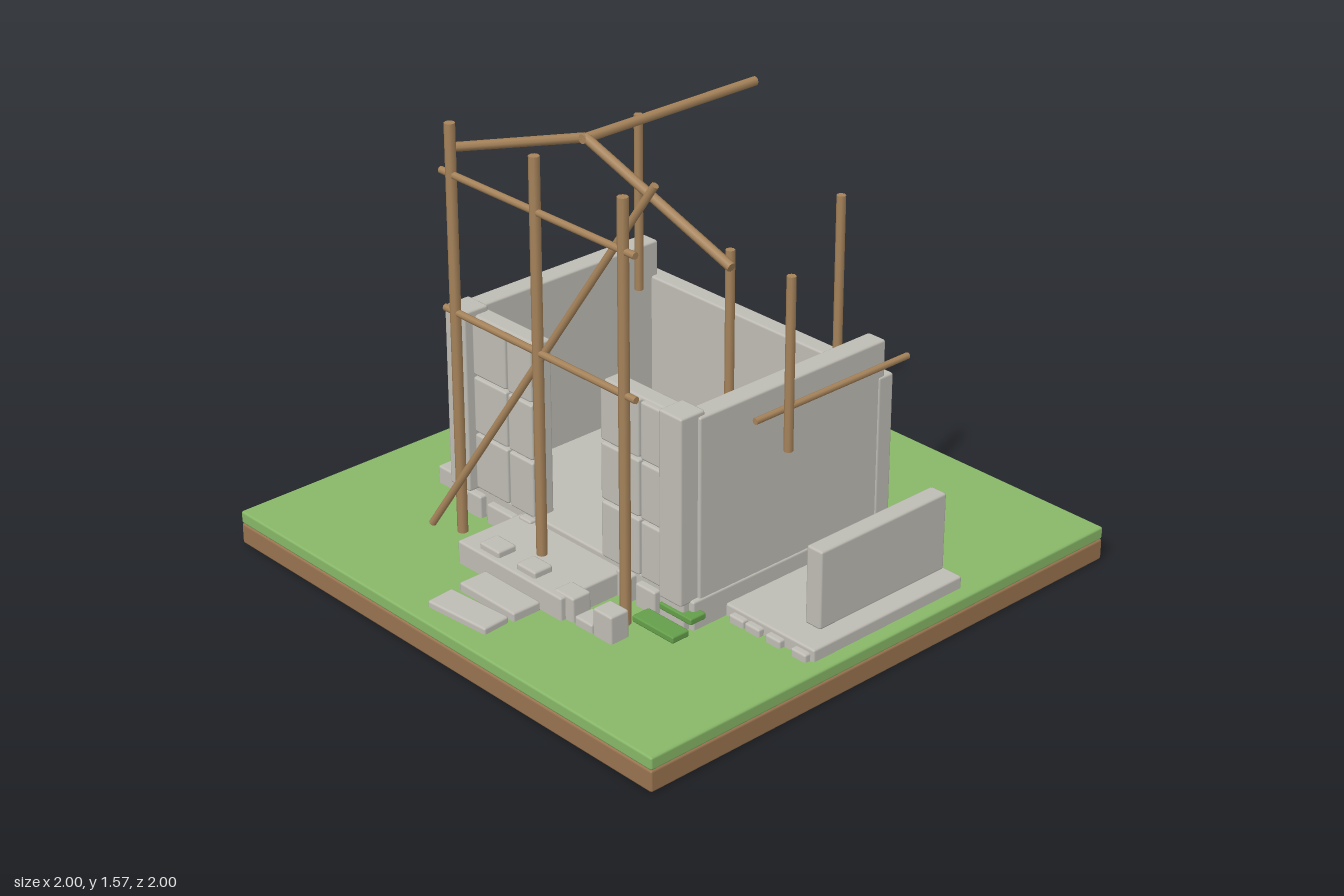
import * as THREE from 'three';
import { RoundedBoxGeometry } from 'three/addons/geometries/RoundedBoxGeometry.js';

export function createModel() {
  const root = new THREE.Group();
  root.name = 'ruinedHouse';

  const material = (name, color) => {
    const m = new THREE.MeshStandardMaterial({ color });
    m.name = name;
    return m;
  };
  const grass = material('grass', 0x88b868);
  const plank = material('greenPlank', 0x659f4a);
  const soil = material('soil', 0x9a7450);
  const stone = material('stone', 0xbfbdb5);
  const wood = material('wood', 0xa6835a);

  // Chamfered block given by its extents on each axis
  const block = (name, mat, [x0, x1], [y0, y1], [z0, z1], turn = 0) => {
    const w = x1 - x0, h = y1 - y0, d = z1 - z0;
    const r = Math.min(0.008, Math.min(w, h, d) * 0.25);
    const mesh = new THREE.Mesh(new RoundedBoxGeometry(w, h, d, 1, r), mat);
    mesh.position.set((x0 + x1) / 2, (y0 + y1) / 2, (z0 + z1) / 2);
    mesh.rotation.y = turn;
    mesh.name = name;
    root.add(mesh);
  };

  // Round pole between two points
  const pole = (name, a, b, r) => {
    const p = new THREE.Vector3(...a), q = new THREE.Vector3(...b);
    const dir = q.clone().sub(p);
    const mesh = new THREE.Mesh(new THREE.CylinderGeometry(r, r, dir.length(), 8), wood);
    mesh.position.copy(p).add(q).multiplyScalar(0.5);
    mesh.quaternion.setFromUnitVectors(new THREE.Vector3(0, 1, 0), dir.normalize());
    mesh.name = name;
    root.add(mesh);
  };

  // Ground
  block('soilBase', soil, [-1, 1], [0, 0.075], [-1, 1]);
  block('grassTop', grass, [-1, 1], [0.075, 0.12], [-1, 1]);

  // House floor and walls
  block('foundation', stone, [-0.57, 0.57], [0.11, 0.22], [-0.44, 0.43]);
  block('backWall', stone, [-0.57, 0.57], [0.21, 0.715], [-0.435, -0.37]);
  for (const s of [-1, 1]) {
    const span = (a, b) => (s > 0 ? [a, b] : [-b, -a]);
    block('sideWall', stone, span(0.49, 0.565), [0.21, 0.84], [-0.4, 0.4]);
    block('cornerPier', stone, span(0.455, 0.555), [0.21, 0.855], [0.37, 0.47]);
    block('frontWall', stone, span(0.16, 0.47), [0.21, 0.835], [0.36, 0.425]);
  }

  // Raised blocks facing the front wall
  for (const columns of [[-0.455, -0.285, -0.16], [0.16, 0.342, 0.455]]) {
    for (let c = 0; c < 2; c++) {
      for (let r = 0; r < 3; r++) {
        block('facingBlock', stone, [columns[c] + 0.004, columns[c + 1] - 0.004],
          [0.222 + r * 0.206, 0.42 + r * 0.206], [0.41, 0.445]);
      }
    }
  }

  // Loose stones along the foundation
  for (const [x, w, y] of [[-0.53, 0.11, 0.2], [-0.39, 0.13, 0.19], [-0.23, 0.06, 0.21],
    [0.24, 0.07, 0.21], [0.33, 0.09, 0.2], [0.44, 0.11, 0.22]]) {
    block('footingStone', stone, [x, x + w], [0.11, y], [0.4, 0.455]);
  }
  block('looseStone', stone, [-0.715, -0.575], [0.11, 0.183], [0.315, 0.395]);

  // Side annex with its two low walls
  block('annexFloor', stone, [0.55, 0.95], [0.11, 0.162], [-0.37, 0.29]);
  block('annexOuterWall', stone, [0.86, 0.925], [0.2, 0.47], [-0.31, 0.24]);
  block('innerLowWall', stone, [0.46, 0.5], [0.2, 0.42], [-0.31, 0.24]);
  for (const x of [0.6, 0.67, 0.76, 0.87]) {
    block('annexStone', stone, [x, x + 0.065], [0.11, 0.147], [0.27, 0.312]);
  }

  // Porch, steps and stones
  block('porch', stone, [-0.25, 0.25], [0.11, 0.2], [0.42, 0.69]);
  block('upperStep', stone, [-0.11, 0.155], [0.11, 0.15], [0.69, 0.8]);
  block('lowerStep', stone, [-0.105, 0.15], [0.11, 0.142], [0.82, 0.925], 0.08);
  for (const [x0, x1, y0, y1] of [[-0.165, -0.07, 0.19, 0.222], [0.015, 0.105, 0.19, 0.222],
    [0.195, 0.285, 0.11, 0.205], [0.29, 0.37, 0.11, 0.15], [0.375, 0.46, 0.11, 0.215]]) {
    block('porchStone', stone, [x0, x1], [y0, y1], [0.595, 0.67]);
  }
  block('greenPlankLow', plank, [0.41, 0.595], [0.128, 0.152], [0.47, 0.54]);
  block('greenPlankHigh', plank, [0.45, 0.595], [0.162, 0.185], [0.4, 0.465]);

  // Timber frame in front
  pole('frontPost', [-0.397, 0.11, 0.55], [-0.397, 1.545, 0.55], 0.018);
  pole('frontPost', [0, 0.19, 0.55], [0, 1.555, 0.55], 0.018);
  pole('frontPost', [0.393, 0.11, 0.55], [0.393, 1.545, 0.55], 0.018);
  for (const y of [0.907, 1.375]) {
    pole('crossBeam', [-0.447, y, 0.55], [0.447, y, 0.55], 0.012);
  }
  pole('diagonalBrace', [-0.4, 0.195, 0.67], [0.395, 1.545, 0.425], 0.013);

  // Roof ridge and rafters
  pole('ridgeBeam', [0, 1.555, 0.36], [0, 1.555, -0.365], 0.016);
  for (const s of [-1, 1]) {
    pole('rafter', [0, 1.557, 0.345], [s * 0.635, 1.338, 0.345], 0.016);
  }

  // Remaining upright posts and the side rail
  for (const [x, z, y0, y1] of [[-0.465, -0.29, 0.7, 1.33], [0.46, -0.29, 0.7, 1.33],
    [0.457, 0.178, 0.71, 1.287], [0.715, 0.178, 0.71, 1.287]]) {
    pole('wallPost', [x, y0, z], [x, y1, z], 0.015);
  }
  pole('sideRail', [0.69, 0.84, 0.295], [0.69, 0.84, -0.365], 0.011);

  return root;
}
